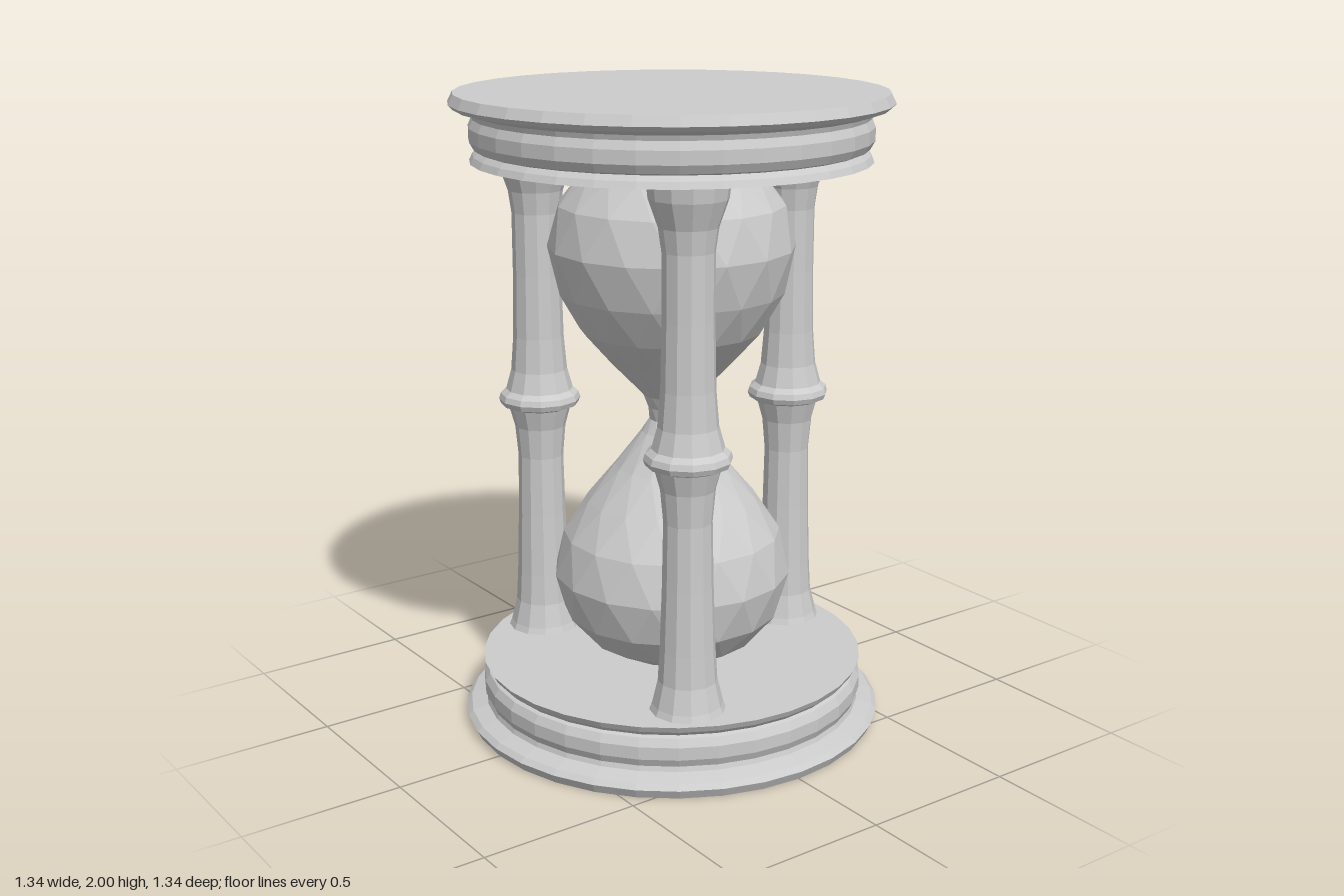
import * as THREE from 'three';

const material = new THREE.MeshStandardMaterial({ color: 0xcccccc, flatShading: true });

// Faceted solid of revolution from [radius, y] pairs listed bottom to top.
// Each row may be turned half a segment further, giving staggered triangular facets.
function turned(name, profile, segments, stagger = false) {
  const geometry = new THREE.LatheGeometry(profile.map(([r, y]) => new THREE.Vector2(r, y)), segments);
  if (stagger) {
    const pos = geometry.attributes.position;
    const v = new THREE.Vector3();
    const up = new THREE.Vector3(0, 1, 0);
    for (let i = 0; i < pos.count; i++) {
      v.fromBufferAttribute(pos, i).applyAxisAngle(up, (i % profile.length) * Math.PI / segments);
      pos.setXYZ(i, v.x, v.y, v.z);
    }
    geometry.computeVertexNormals();
  }
  const mesh = new THREE.Mesh(geometry, material);
  mesh.name = name;
  return mesh;
}

// Same profile upside down about mid height
const flip = (profile) => profile.map(([r, y]) => [r, 2 - y]).reverse();

export function createModel() {
  const model = new THREE.Group();
  model.name = 'hourglass';

  // Moulded round end plates
  const plate = [
    [0, 0], [0.655, 0], [0.67, 0.03], [0.655, 0.045], [0.605, 0.06], [0.6, 0.075],
    [0.611, 0.1], [0.611, 0.14], [0.597, 0.165], [0.585, 0.17], [0.6, 0.185], [0.61, 0.205], [0, 0.205],
  ];
  model.add(turned('basePlate', plate, 32));
  model.add(turned('topPlate', flip(plate), 32));

  // Two glass bulbs joined by a narrow neck
  const glass = [
    [0, 0.19], [0.17, 0.205], [0.27, 0.26], [0.345, 0.35], [0.378, 0.48], [0.345, 0.61],
    [0.27, 0.72], [0.18, 0.83], [0.095, 0.94], [0.07, 0.98], [0.075, 1.02], [0.09, 1.06],
    [0.19, 1.165], [0.285, 1.27], [0.35, 1.39], [0.382, 1.53], [0.35, 1.66], [0.27, 1.76],
    [0.17, 1.805], [0, 1.815],
  ];
  model.add(turned('glassBulbs', glass, 16, true));

  // Three turned pillars with a central ring, one at the back
  const pillar = [
    [0.118, 0.2], [0.108, 0.225], [0.09, 0.3], [0.084, 0.4], [0.077, 0.6], [0.073, 0.8],
    [0.082, 0.9], [0.1, 0.965], [0.125, 0.975], [0.132, 0.992], [0.126, 1.01], [0.108, 1.025],
    [0.09, 1.09], [0.081, 1.2], [0.077, 1.4], [0.077, 1.6], [0.087, 1.67],
    [0.115, 1.75], [0.122, 1.81],
  ];
  for (let i = 0; i < 3; i++) {
    const angle = Math.PI + i * Math.PI * 2 / 3;
    const post = turned('pillar', pillar, 12);
    post.position.set(0.47 * Math.sin(angle), 0, 0.47 * Math.cos(angle));
    post.rotation.y = angle;
    model.add(post);
  }
  return model;
}
